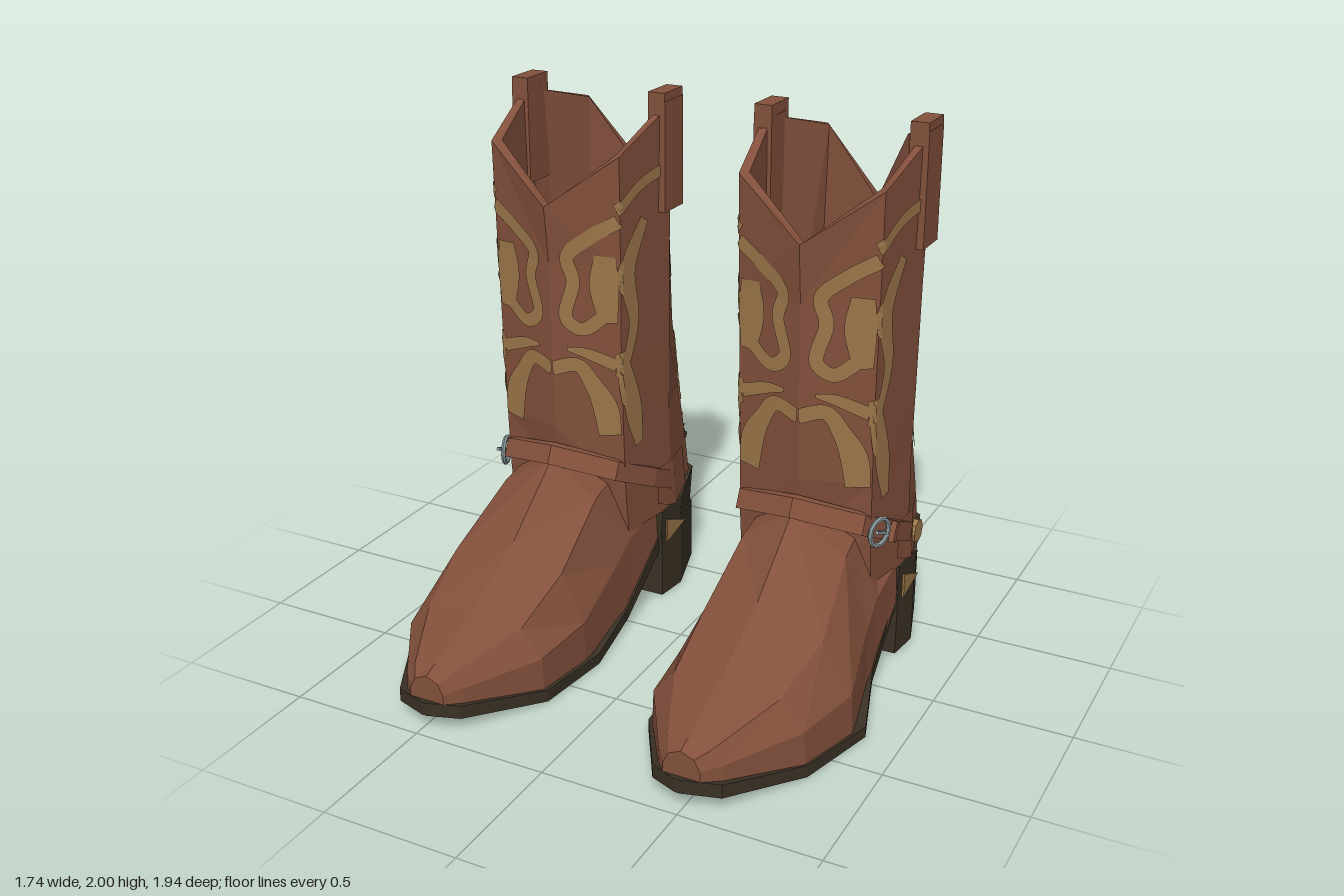
import * as THREE from 'three';

const mat = (name, color) => {
  const m = new THREE.MeshStandardMaterial({ color, side: THREE.DoubleSide });
  m.name = name;
  return m;
};

// Closed skin through equal-length loops of [x, y, z]; always wound outwards
function loft(loops) {
  const n = loops[0].length, last = (loops.length - 1) * n;
  const p = loops.flat(), idx = [];
  for (let i = 0; i < loops.length - 1; i++) {
    for (let j = 0; j < n; j++) {
      const a = i * n + j, b = i * n + (j + 1) % n;
      idx.push(a, b, b + n, a, b + n, a + n);
    }
  }
  for (let j = 1; j < n - 1; j++) idx.push(0, j + 1, j, last, last + j, last + j + 1);
  const v = p.map(q => new THREE.Vector3(...q)), c = new THREE.Vector3();
  let vol = 0;
  for (let i = 0; i < idx.length; i += 3) {
    vol += v[idx[i]].dot(c.crossVectors(v[idx[i + 1]], v[idx[i + 2]]));
  }
  if (vol < 0) idx.reverse();
  const g = new THREE.BufferGeometry();
  g.setAttribute('position', new THREE.Float32BufferAttribute(p.flat(), 3));
  g.setIndex(idx);
  return g;
}

// Flat plate drawn in (z, y), facing sideways, from x to x + depth
function plate(pts, x, depth) {
  const shape = new THREE.Shape(pts.map(q => new THREE.Vector2(...q)));
  return new THREE.ExtrudeGeometry(shape, { depth, bevelEnabled: false })
    .rotateY(-Math.PI / 2).translate(x + depth, 0, 0);
}

// Flat-shaded copy, optionally mirrored across x
function facet(geo, mirror) {
  const g = geo.index ? geo.toNonIndexed() : geo.clone();
  if (mirror) {
    const p = g.attributes.position;
    for (let i = 0; i < p.count; i += 3) {
      const t = [0, 2, 1].map(k => [-p.getX(i + k), p.getY(i + k), p.getZ(i + k)]);
      t.forEach((q, k) => p.setXYZ(i + k, ...q));
    }
  }
  g.computeVertexNormals();
  return g;
}

// Shaft surface: per height, five half-ring corners from front to back
const RINGS = [
  // y, front z, then x, z of three corners, back z
  [0.36, 0.0, 0.25, -0.03, 0.285, -0.32, 0.225, -0.58, -0.68],
  [0.55, 0.03, 0.25, -0.01, 0.285, -0.3, 0.215, -0.56, -0.665],
  [0.78, 0.065, 0.25, 0.0, 0.285, -0.29, 0.2, -0.53, -0.64],
  [1.05, 0.075, 0.25, 0.01, 0.29, -0.285, 0.185, -0.51, -0.62],
  [1.42, 0.08, 0.255, 0.015, 0.295, -0.28, 0.17, -0.5, -0.625],
  [2.0, 0.145, 0.26, 0.025, 0.305, -0.28, 0.16, -0.5, -0.64],
];
const ARC = [0, 0.265, 0.565, 0.82, 1.03];   // distance around the half ring at each corner

function shaftPoint(arc, y, off = 0) {
  const a = THREE.MathUtils.clamp(arc, 0, 1.03);
  let r = 0, s = 0;
  while (r < RINGS.length - 2 && y > RINGS[r + 1][0]) r++;
  while (s < 3 && a > ARC[s + 1]) s++;
  const A = RINGS[r], B = RINGS[r + 1], t = (y - A[0]) / (B[0] - A[0]);
  const q = A.map((v, i) => v + (B[i] - v) * t);
  const c = [[0, q[1]], [q[2], q[3]], [q[4], q[5]], [q[6], q[7]], [0, q[8]]];
  const f = (a - ARC[s]) / (ARC[s + 1] - ARC[s]);
  const dx = c[s + 1][0] - c[s][0], dz = c[s + 1][1] - c[s][1], len = Math.hypot(dx, dz);
  return [c[s][0] + dx * f - dz / len * off, y, c[s][1] + dz * f + dx / len * off];
}

const mirrorLoop = half => [...half, ...half.slice(1, -1).reverse().map(([x, y, z]) => [-x, y, z])];
const shaftRing = ys => mirrorLoop(ARC.map((a, i) => shaftPoint(a, ys[i])));

// Ribbon laid on the shaft through [arc, y, half width] points
function ribbon(pts, off) {
  const curve = new THREE.CatmullRomCurve3(pts.map(q => new THREE.Vector3(...q)));
  const N = 40, M = 5, pos = [], idx = [];
  for (let i = 0; i <= N; i++) {
    const p = curve.getPoint(i / N), t = curve.getTangent(i / N);
    const l = Math.hypot(t.x, t.y) || 1;
    for (let j = 0; j <= M; j++) {
      const w = p.z * (2 * j / M - 1);
      pos.push(...shaftPoint(p.x - t.y / l * w, p.y + t.x / l * w, off));
      if (i < N && j < M) {
        const a = i * (M + 1) + j, b = a + M + 1;
        idx.push(a, a + 1, b + 1, a, b + 1, b);
      }
    }
  }
  const g = new THREE.BufferGeometry();
  g.setAttribute('position', new THREE.Float32BufferAttribute(pos, 3));
  g.setIndex(idx);
  return g;
}

// Front scrolls: a hooked band, the block inside it, the lower lobe and its petal
const FRONT_STITCHING = [
  [[0.26, 1.59], [0.16, 1.53], [0.07, 1.45], [0.09, 1.36], [0.06, 1.22], [0.12, 1.18], [0.21, 1.24]]
    .map(q => [...q, 0.026]),
  [[0.21, 1.46, 0.04], [0.205, 1.35, 0.055], [0.22, 1.21, 0.035]],
  [[0, 1.02, 0.028], [0.1, 1.04, 0.028], [0.155, 0.97, 0.035], [0.2, 0.88, 0.05], [0.215, 0.77, 0.045]],
  [[0.06, 1.1, 0.008], [0.13, 1.09, 0.02], [0.25, 1.05, 0.025]],
];

// Side arch, front-edge wings, and wings that meet at the back
const SIDE_STITCHING = [
  [[0.252, 1.63], [0.385, 1.7], [0.55, 1.72], [0.72, 1.64], [0.883, 1.42]].map(q => [...q, 0.022]),
  [[0.4, 1.57, 0.025], [0.3, 1.4, 0.045], [0.335, 1.2, 0.03], [0.265, 1.0, 0.025]],
  [[0.265, 1.1, 0.025], [0.325, 0.86, 0.05], [0.355, 0.71, 0.025]],
  [[0.718, 1.56, 0.025], [0.81, 1.37, 0.05], [0.9, 1.17, 0.035], [1.03, 1.08, 0.03]],
  [[1.03, 1.08, 0.03], [0.925, 1.05, 0.03], [0.82, 0.9, 0.05], [0.79, 0.72, 0.025]],
  [[0.967, 1.2, 0.018], [0.946, 1.35, 0.03], [0.893, 1.5, 0.02]],
];

export function createModel() {
  const leather = mat('brown leather', 0x83503c), gold = mat('gold', 0x9c774a);
  const dark = mat('dark sole', 0x393125), steel = mat('steel', 0x8a979c);
  const parts = [];
  const add = (name, geo, m) => parts.push([name, geo, m]);
  const addPair = (name, geo, m) => {
    add(name, geo, m);
    add(name, facet(geo, true), m);
  };

  // Shaft: outer wall, scalloped rim, inner wall
  const rim = shaftRing([1.63, 1.82, 1.95, 1.89, 1.61]);
  const inset = loop => loop.map(([x, y, z]) => [x * 0.9, y, -0.27 + (z + 0.27) * 0.9]);
  const floor = inset(shaftRing(Array(5).fill(0.55)));
  const outer = RINGS.slice(0, 5).map(r => shaftRing(Array(5).fill(r[0])));
  add('shaft', loft([...outer, rim, inset(rim), floor]), leather);
  // Insole: sits clear of the foot inside the shaft
  const lift = dy => floor.map(([x, y, z]) => [x, y + dy, z]);
  add('insole', loft([lift(0.15), lift(0.16)]), dark);
  for (const s of [...FRONT_STITCHING, ...SIDE_STITCHING]) addPair('stitching', ribbon(s, 0.006), gold);

  // Foot: z, outer width, inner width, bottom, side, shoulder and ridge heights
  const foot = [
    [0.945, 0.07, 0.065, 0.1, 0.14, 0.18, 0.2],
    [0.89, 0.125, 0.11, 0.09, 0.15, 0.2, 0.22],
    [0.63, 0.295, 0.27, 0.045, 0.17, 0.27, 0.32],
    [0.38, 0.36, 0.295, 0.035, 0.19, 0.37, 0.45],
    [0.1, 0.3, 0.27, 0.06, 0.28, 0.54, 0.67],
    [-0.02, 0.285, 0.265, 0.09, 0.34, 0.57, 0.69],
    [-0.25, 0.275, 0.26, 0.22, 0.38, 0.5, 0.55],
    [-0.42, 0.22, 0.21, 0.25, 0.36, 0.45, 0.5],
  ];
  add('foot', loft(foot.map(([z, o, i, yb, ym, ys, yt]) => [
    [o, yb, z], [o * 0.98, ym, z], [o * 0.68, ys, z], [0, yt, z],
    [-i * 0.68, ys, z], [-i * 0.98, ym, z], [-i, yb, z]])), leather);

  // Sole: z, outer width, inner width, top and bottom heights
  const sole = [
    [0.97, 0.01, 0.01, 0.11, 0.06], [0.92, 0.135, 0.115, 0.1, 0.05], [0.63, 0.305, 0.285, 0.05, 0.005],
    [0.32, 0.385, 0.315, 0.04, 0], [0.03, 0.295, 0.275, 0.075, 0.03], [-0.25, 0.27, 0.265, 0.25, 0.19],
    [-0.4, 0.26, 0.255, 0.28, 0.22],
  ];
  add('sole', loft(sole.map(([z, o, i, t, b]) => [[o, t, z], [o, b, z], [-i, b, z], [-i, t, z]])), dark);

  // Heel block and the dark band above it
  const heelRing = (ys, k) => {
    const half = [[0.28, -0.24], [0.295, -0.37], [0.225, -0.6], [0, -0.71]]
      .map(([x, z], i) => [x * k, ys[i], -0.25 + (z + 0.25) * k]);
    return [...half, ...half.slice(0, 3).reverse().map(([x, y, z]) => [-x, y, z])];
  };
  const heelTop = Array(4).fill(0.25);
  add('heel', loft([heelRing(Array(4).fill(0), 1), heelRing(heelTop, 1)]), dark);
  add('heelBand', loft([heelRing(heelTop, 0.98), heelRing([0.36, 0.375, 0.4, 0.41], 1.01)]), dark);
  addPair('heelPlate', plate([[-0.25, 0.33], [-0.25, 0.235], [-0.4, 0.265]], 0.291, 0.008), gold);

  // Ankle strap with side patch, buckle and stud
  const strapHalf = [[0, 0.69, 0.115], [0.24, 0.64, 0.035], [0.297, 0.545, -0.16], [0.298, 0.48, -0.3]];
  const strapPath = [...strapHalf.slice(1).reverse().map(([x, y, z]) => [-x, y, z]), ...strapHalf];
  add('ankleStrap', loft(strapPath.map(([x, y, z]) => {
    const k = 1 - 0.03 / Math.hypot(x, z + 0.25);
    const xi = x * k, zi = -0.25 + (z + 0.25) * k;
    return [[x, y + 0.032, z - 0.015], [x, y - 0.032, z + 0.015],
      [xi, y - 0.032, zi + 0.015], [xi, y + 0.032, zi - 0.015]];
  })), leather);
  addPair('anklePatch', ribbon([[0.46, 0.49, 0.075], [0.58, 0.47, 0.1], [0.72, 0.47, 0.085]], 0.012), leather);
  add('buckle', new THREE.TorusGeometry(0.05, 0.009, 6, 12).rotateY(1.25).translate(0.277, 0.6, -0.02), steel);
  add('buckleProng', new THREE.BoxGeometry(0.012, 0.012, 0.1).rotateX(-0.4).translate(0.285, 0.6, -0.02), steel);
  add('strapTip', new THREE.BoxGeometry(0.02, 0.075, 0.03).rotateX(-0.5).translate(0.298, 0.565, -0.11), leather);
  add('stud', new THREE.CylinderGeometry(0.045, 0.045, 0.04, 8).rotateZ(Math.PI / 2)
    .translate(0.283, 0.455, -0.365), gold);

  // Pull straps over the rim
  addPair('pullStrapTop', new THREE.BoxGeometry(0.065, 0.08, 0.14).translate(0.28, 1.96, -0.28), leather);
  addPair('pullStrapOuter', new THREE.BoxGeometry(0.03, 0.4, 0.14).translate(0.299, 1.77, -0.28), leather);
  addPair('pullStrapInner', new THREE.BoxGeometry(0.02, 0.35, 0.14).translate(0.257, 1.785, -0.28), leather);

  // Spur: arms, end caps, pin and star wheel
  const armLoops = [[0.07, 0.27, 0.39, -0.66], [0.058, 0.3, 0.385, -0.71], [0.047, 0.345, 0.385, -0.78],
    [0.04, 0.37, 0.41, -0.83]].map(([x, b, t, z]) =>
    [[x + 0.014, b, z], [x + 0.014, t, z], [x - 0.014, t, z], [x - 0.014, b, z]]);
  addPair('spurArm', loft(armLoops), gold);
  addPair('spurCap', new THREE.BoxGeometry(0.03, 0.045, 0.1).rotateX(0.35).translate(0.038, 0.395, -0.83), dark);
  add('spurPin', new THREE.CylinderGeometry(0.017, 0.017, 0.12, 8).rotateZ(Math.PI / 2)
    .translate(0, 0.4, -0.865), dark);
  const star = Array.from({ length: 20 }, (_, i) => {
    const r = i % 2 ? 0.045 : 0.105, a = i * Math.PI / 10;
    return [-0.865 + r * Math.cos(a), 0.4 + r * Math.sin(a)];
  });
  add('spurWheel', plate(star, -0.008, 0.016), gold);

  // Mirrored pair
  const model = new THREE.Group();
  model.name = 'boots';
  for (const side of [1, -1]) {
    const boot = new THREE.Group();
    boot.name = side > 0 ? 'leftBoot' : 'rightBoot';
    boot.position.x = side * 0.485;
    for (const [name, geo, m] of parts) {
      const mesh = new THREE.Mesh(facet(geo, side < 0), m);
      mesh.name = name;
      boot.add(mesh);
    }
    model.add(boot);
  }
  return model;
}
